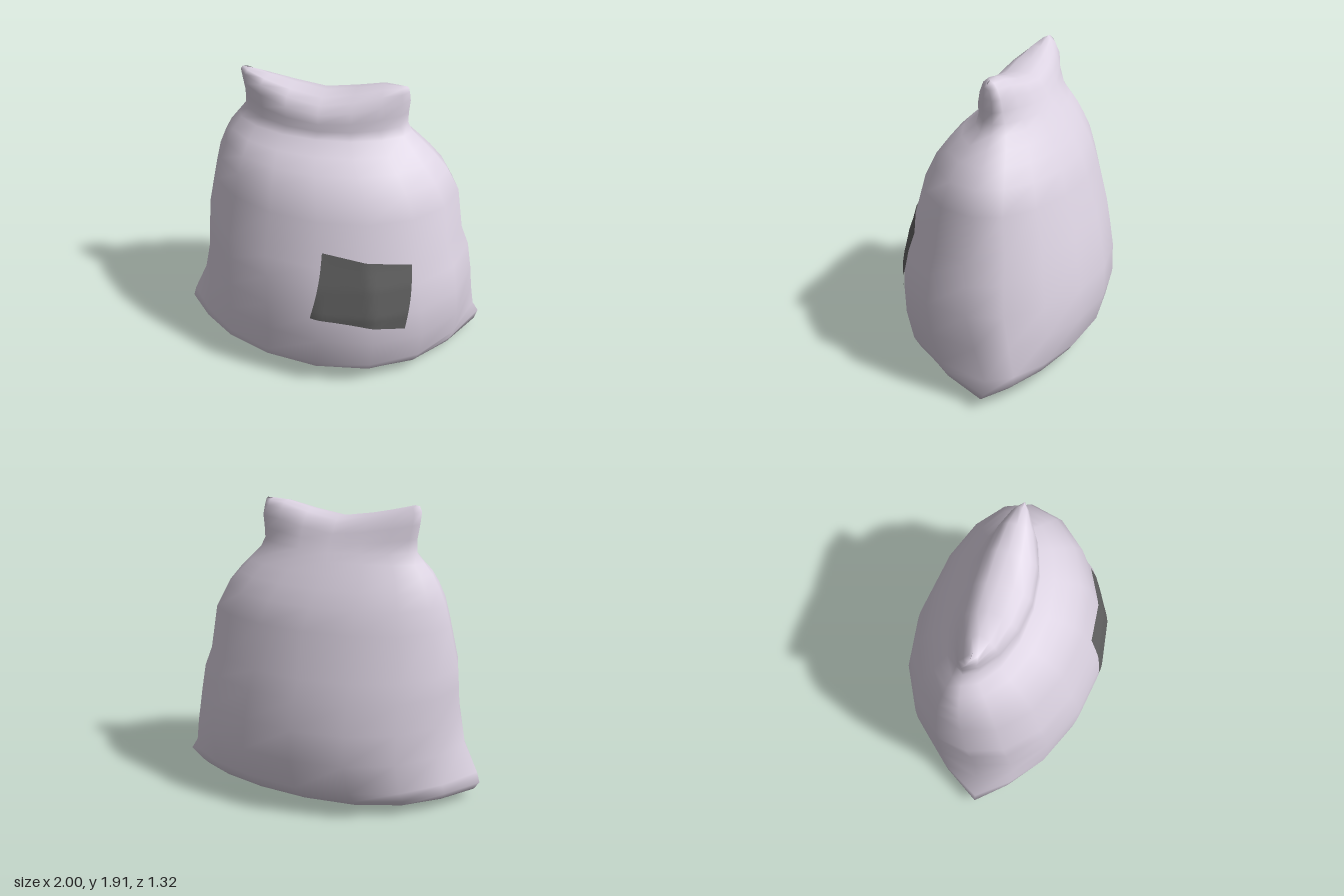
import * as THREE from 'three';
import { mergeVertices } from 'three/addons/utils/BufferGeometryUtils.js';

const { lerp, smoothstep } = THREE.MathUtils;
const SIDES = 16;

const sackCloth = new THREE.MeshStandardMaterial({ color: 0xdcd3e2 });
sackCloth.name = 'sackCloth';
const patchCloth = new THREE.MeshStandardMaterial({ color: 0x616161, side: THREE.DoubleSide });
patchCloth.name = 'patchCloth';

// Sack outline: height, right x, left x, front z, back z
const outline = [
  [0, 0, 0, 0, 0],
  [0.005, -0.22, 0.28, 0.16, -0.14],
  [0.03, -0.74, 0.74, 0.43, -0.42],
  [0.06, -0.86, 0.86, 0.53, -0.5],
  [0.11, -0.89, 0.89, 0.59, -0.56],
  [0.18, -0.88, 0.915, 0.63, -0.61],
  [0.38, -0.86, 0.935, 0.655, -0.66],
  [0.58, -0.86, 0.92, 0.65, -0.655],
  [0.77, -0.855, 0.89, 0.61, -0.62],
  [0.9, -0.85, 0.84, 0.575, -0.59],
  [1.18, -0.8, 0.8, 0.495, -0.515],
  [1.32, -0.77, 0.725, 0.43, -0.46],
  [1.42, -0.73, 0.64, 0.355, -0.4],
  [1.5, -0.69, 0.56, 0.27, -0.35],
  [1.57, -0.635, 0.49, 0.18, -0.3],
  [1.62, -0.585, 0.46, 0.165, -0.265],
  [1.67, -0.585, 0.463, 0.17, -0.225],
  [1.72, -0.6, 0.47, 0.15, -0.195],
  [1.765, -0.6, 0.465, 0.11, -0.16],
  [1.793, -0.58, 0.46, 0.05, -0.11],
  [1.805, -0.55, 0.45, -0.03, -0.03],
];

// Upward sweep of the mouth towards both tips
function mouthRise(x, y) {
  const rise = x < -0.05
    ? 0.105 * Math.pow((-0.05 - x) / 0.5, 1.3)
    : 0.08 * Math.sin(Math.min(1, (x + 0.05) / 0.42) * Math.PI / 2) ** 2;
  return rise * smoothstep(y, 1.57, 1.8);
}

// Depth of the side seam, blended from the right side (t = 0) to the left (t = 1)
function seamDepth(y, t) {
  const lip = smoothstep(y, 1.72, 1.8);
  const right = 0.03 - 0.14 * smoothstep(y, 0.2, 1.6) + 0.05 * lip;
  const left = -0.19 + 0.14 * smoothstep(y, 0.1, 0.6) + 0.03 * lip;
  return lerp(right, left, t) * smoothstep(y, 0, 0.08);
}

// Pointed bottom corners, fading out upwards
function cornerEar(y, c) {
  const size = c > 0
    ? 0.12 * (1 - smoothstep(y, 0.07, 0.25))
    : -0.115 * (1 - smoothstep(y, 0.1, 0.55));
  return size * smoothstep(y, 0, 0.07) * Math.pow(Math.abs(c), 24);
}

function sectionPoint([y, right, left, front, back], j) {
  const angle = j / SIDES * Math.PI * 2;
  const c = Math.cos(angle), s = Math.sin(angle);
  const x = (right + left) / 2 + (left - right) / 2 * c + cornerEar(y, c);
  const seam = seamDepth(y, (c + 1) / 2);
  // the closing ridge collapses onto its seam line
  const reach = front === back ? 0 : (s > 0 ? front : back) - seam;
  const pinch = 1 + 0.2 * smoothstep(y, 1.45, 1.67);
  // the belly is fuller at front left and back right
  const skew = 1 + 0.06 * c * Math.sign(s);
  return [x, y + mouthRise(x, y), seam + reach * skew * Math.pow(Math.abs(s), pinch)];
}

// Closed skin lofted through the cross-sections
function sackGeometry() {
  const pos = [], index = [];
  outline.forEach((row, i) => {
    for (let j = 0; j < SIDES; j++) {
      pos.push(...sectionPoint(row, j));
      if (i === outline.length - 1) continue;
      const a = i * SIDES + j, b = i * SIDES + (j + 1) % SIDES;
      index.push(a, a + SIDES, b, b, a + SIDES, b + SIDES);
    }
  });
  const raw = new THREE.BufferGeometry();
  raw.setAttribute('position', new THREE.Float32BufferAttribute(pos, 3));
  raw.setIndex(index);
  const g = mergeVertices(raw, 1e-4);
  g.computeVertexNormals();
  return g;
}

// Depth of the sack's faceted front at a given x and y
function frontDepth(x, y) {
  const i = outline.findIndex((r) => r[0] > y);
  const low = outline[i - 1], high = outline[i];
  const t = (y - low[0]) / (high[0] - low[0]);
  const row = low.map((v, k) => lerp(v, high[k], t));
  let j = 1;
  while (sectionPoint(row, j)[0] > x) j++;
  const a = sectionPoint(row, j - 1), b = sectionPoint(row, j);
  return lerp(a[2], b[2], (x - a[0]) / (b[0] - a[0]));
}

// Skewed square of cloth laid on the sack's front
function patchGeometry() {
  const g = new THREE.PlaneGeometry(1, 1, 16, 16);
  const p = g.attributes.position;
  for (let i = 0; i < p.count; i++) {
    const u = p.getX(i) + 0.5, v = p.getY(i) + 0.5;
    const bow = 0.015 * Math.sin(v * Math.PI);
    const x = lerp(lerp(-0.02, 0.565, u), lerp(0.04, 0.58, u), v) + bow;
    const y = lerp(lerp(0.56, 0.47, u), lerp(1.0, 0.9, u), v) + 0.012 * Math.sin(u * Math.PI) * (1 - v);
    p.setXYZ(i, x, y, frontDepth(x, y) + 0.009);
  }
  g.computeVertexNormals();
  return g;
}

export function createModel() {
  const group = new THREE.Group();
  group.name = 'sack';
  const body = new THREE.Mesh(sackGeometry(), sackCloth);
  body.name = 'sackBody';
  const patch = new THREE.Mesh(patchGeometry(), patchCloth);
  patch.name = 'patch';
  group.add(body, patch);
  return group;
}
